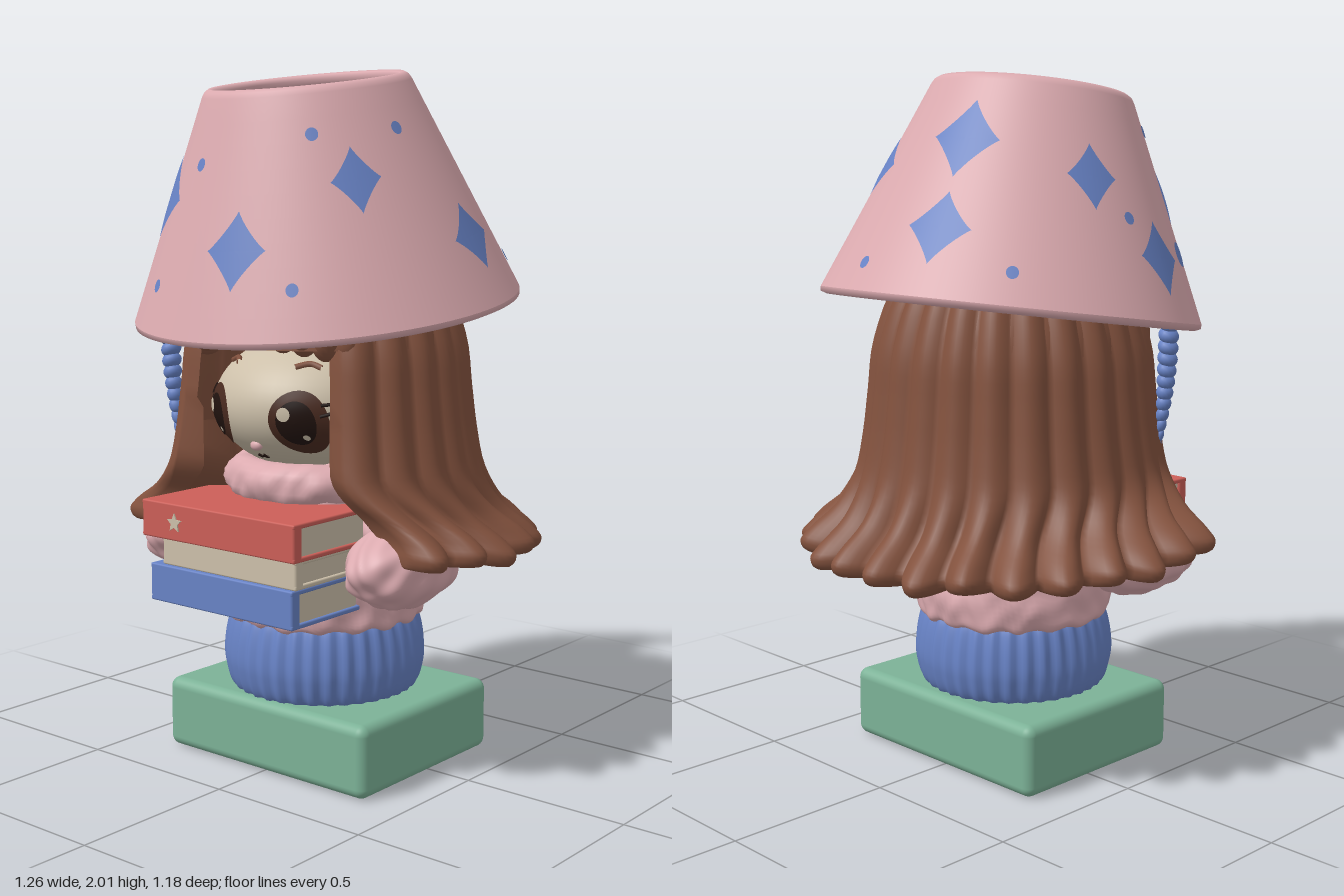
import * as THREE from 'three';
import { mergeVertices } from 'three/addons/utils/BufferGeometryUtils.js';
import { RoundedBoxGeometry } from 'three/addons/geometries/RoundedBoxGeometry.js';

const mat = (name, color, side = THREE.FrontSide) => {
  const m = new THREE.MeshStandardMaterial({ color, side });
  m.name = name;
  return m;
};

export function createModel() {
  const root = new THREE.Group();
  const pink = mat('pink', 0xdcabb0);
  const blue = mat('blue', 0x6883c6, THREE.DoubleSide);
  const brown = mat('hair brown', 0x83523e, THREE.DoubleSide);
  const cream = mat('cream', 0xcdc0aa);
  const green = mat('green', 0x7cb297);
  const red = mat('red', 0xcc5f58);
  const iris = mat('iris brown', 0x4a2b20);
  const dark = mat('dark', 0x21130f);

  const add = (name, geo, material, pos = [0, 0, 0], parent = root) => {
    const m = new THREE.Mesh(geo, material);
    m.name = name;
    m.position.set(...pos);
    parent.add(m);
    return m;
  };
  // Weld a geometry, move every vertex by a rule, and smooth it
  const reshape = (geo, rule) => {
    geo.deleteAttribute('uv');
    geo.deleteAttribute('normal');
    const g = mergeVertices(geo, 1e-5), p = g.attributes.position, v = new THREE.Vector3();
    for (let i = 0; i < p.count; i++) {
      rule(v.fromBufferAttribute(p, i));
      p.setXYZ(i, v.x, v.y, v.z);
    }
    g.computeVertexNormals();
    return g;
  };
  const lathe = (pts, n) => new THREE.LatheGeometry(
    new THREE.SplineCurve(pts.map(p => new THREE.Vector2(...p))).getPoints(40), n);
  const tufts = v => Math.sin(v.x * 62 + 9 * v.y) * Math.sin(v.y * 58 + 2 * Math.sin(v.x * 30)) + 0.6 * Math.sin(v.z * 66 + v.y * 40);

  // Base block, with a plug underneath
  add('base', new RoundedBoxGeometry(0.75, 0.21, 0.6, 5, 0.03), green, [0.005, 0.107, 0.03]);
  add('basePlug', new THREE.CylinderGeometry(0.035, 0.035, 0.006, 20), blue, [0, 0.003, 0.03]);

  // Ribbed skirt
  add('skirt', reshape(lathe([[0.2, 0.19], [0.265, 0.21], [0.29, 0.28], [0.29, 0.35], [0.275, 0.42], [0.25, 0.46]], 180), v => {
    const k = 1 + 0.018 * Math.sin(Math.atan2(v.x, v.z) * 36);
    v.x *= k; v.z *= k;
  }), blue, [0, 0, 0.038]);

  // Fluffy jumper with collar and sleeves
  add('jumper', reshape(lathe([[0.2, 0.42], [0.275, 0.425], [0.293, 0.47], [0.285, 0.56], [0.27, 0.66], [0.27, 0.76], [0.25, 0.87], [0.12, 0.94]], 120), v => {
    const k = 1 + 0.018 * tufts(v);
    v.x *= k; v.z *= k; v.y += 0.006 * Math.sin(Math.atan2(v.x, v.z) * 17);
  }), pink, [0, 0, 0.038]);
  const fluffBall = (rx, ry, rz) => reshape(new THREE.IcosahedronGeometry(1, 20), v => {
    v.set(v.x * rx, v.y * ry, v.z * rz);
    v.multiplyScalar(1 + 0.035 * tufts(v));
  });
  add('collar', reshape(new THREE.TorusGeometry(0.215, 0.06, 20, 110).rotateX(Math.PI / 2), v => {
    v.multiplyScalar(1 + 0.02 * tufts(v));
  }), pink, [0, 0.84, 0.06]);
  for (const s of [-1, 1]) {
    add('sleeve', fluffBall(0.125, 0.115, 0.2), pink, [s * 0.385, 0.64, 0.165]);
    add('upperArm', fluffBall(0.1, 0.12, 0.13), pink, [s * 0.3, 0.72, 0.06]);
  }

  // Books: two boards, a spine at the front and a page block
  const book = (name, x0, x1, y0, y1, zFront, zBack, material) => {
    const g = new THREE.Group(), w = x1 - x0, h = y1 - y0, d = zFront - zBack;
    g.name = name;
    g.position.set((x0 + x1) / 2, (y0 + y1) / 2, (zFront + zBack) / 2);
    for (const s of [-1, 1])
      add('board', new RoundedBoxGeometry(w, 0.014, d, 2, 0.005), material, [0, s * (h / 2 - 0.007), 0], g);
    add('spine', new RoundedBoxGeometry(w, h, 0.035, 3, 0.008), material, [0, 0, d / 2 - 0.0175], g);
    add('pages', new THREE.BoxGeometry(w - 0.016, h - 0.02, d - 0.03), cream, [0, 0, -0.005], g);
    root.add(g);
  };
  book('blueBook', -0.27, 0.265, 0.5, 0.608, 0.49, 0.2, blue);
  book('creamBook', -0.23, 0.27, 0.608, 0.69, 0.48, 0.2, cream);
  book('redBook', -0.28, 0.29, 0.69, 0.795, 0.51, 0.2, red);
  const star5 = new THREE.Shape(Array.from({ length: 10 }, (_, i) => {
    const r = i % 2 ? 0.013 : 0.028, a = Math.PI / 2 + i * Math.PI / 5;
    return new THREE.Vector2(r * Math.cos(a), r * Math.sin(a));
  }));
  add('bookStar', new THREE.ExtrudeGeometry(star5, { depth: 0.006, bevelEnabled: false }), cream, [-0.15, 0.742, 0.508]);

  // Head, and helpers that lay details on its surface
  const C = [0, 1.055, 0.05], R = [0.3, 0.205, 0.325];
  add('head', new THREE.SphereGeometry(1, 48, 32).scale(...R), cream, C);
  const faceZ = (x, y) => C[2] + R[2] * Math.sqrt(Math.max(0, 1 - (x / R[0]) ** 2 - ((y - C[1]) / R[1]) ** 2));
  const spot = (name, x, y, rx, ry, lift, material) =>
    add(name, reshape(new THREE.RingGeometry(0.001, 1, 32, 5), v => {
      const px = x + v.x * rx, py = y + v.y * ry;
      v.set(px, py, faceZ(px, py) + lift);
    }), material);
  const stroke = (name, pts, r, material) => {
    const path = new THREE.CatmullRomCurve3(pts.map(([x, y]) => new THREE.Vector3(x, y, faceZ(x, y) + 0.005)));
    add(name, new THREE.TubeGeometry(path, 12, r, 6), material);
  };
  for (const s of [-1, 1]) {
    const x = s * 0.146;
    spot('eye', x, 1.03, 0.072, 0.09, 0.005, iris);
    spot('pupil', x, 1.03, 0.048, 0.062, 0.01, dark);
    spot('eyeGlint', x - 0.024, 1.055, 0.017, 0.02, 0.015, cream);
    spot('smallGlint', x + 0.022, 0.99, 0.008, 0.008, 0.015, cream);
    for (const i of [0, 1])
      stroke('lash', [[s * 0.2, 1.08 - i * 0.03], [s * 0.225, 1.085 - i * 0.025], [s * 0.243, 1.1 - i * 0.02]], 0.005, dark);
    stroke('brow', [[s * 0.105, 1.178], [s * 0.135, 1.186], [s * 0.165, 1.176]], 0.009, brown);
    for (const i of [0, 1])
      stroke('whisker', [[s * 0.19, 0.95 - i * 0.025], [s * 0.225, 0.957 - i * 0.015], [s * 0.25, 0.97 - i * 0.008]], 0.0025, dark);
    stroke('mouth', [[0, 0.925], [s * 0.01, 0.918], [s * 0.02, 0.924]], 0.0035, dark);
  }
  add('nose', new THREE.SphereGeometry(0.02, 20, 14).scale(1, 0.75, 0.7), pink, [0, 0.955, faceZ(0, 0.955)]);

  // Long hair: a profile swept round the back, ribbed into strands and flared at the hem
  const strands = 18, perStrand = 10, cols = strands * perStrand;
  const profile = new THREE.SplineCurve([[0.02, 1.57], [0.2, 1.53], [0.33, 1.42], [0.4, 1.25], [0.42, 1.1], [0.435, 0.98],
    [0.46, 0.86], [0.51, 0.76], [0.585, 0.69], [0.615, 0.65], [0.58, 0.62], [0.45, 0.665], [0.32, 0.73], [0.3, 0.85], [0.3, 1.0]]
    .map(p => new THREE.Vector2(...p))).getPoints(56);
  const pos = [], idx = [], rows = profile.length;
  for (let c = -1; c <= cols + 1; c++) {
    const cap = c < 0 || c > cols, k = Math.min(Math.max(c, 0), cols), u = 2 * k / cols - 1;
    const bump = Math.abs(Math.sin(Math.PI * k / perStrand));
    const id = Math.min(strands - 1, Math.floor(k / perStrand));
    for (const p of profile) {
      const flare = 1 - THREE.MathUtils.smoothstep(p.y, 0.66, 0.9);
      const amp = (0.022 + 0.05 * flare) * Math.min(1, p.x / 0.3);
      let r = p.x + amp * (bump - 0.75);
      if (cap) r = p.y > 1.05 ? r - 0.03 * Math.min(1, p.x / 0.3) : 0.36 + Math.max(0, 0.85 - p.y) * 0.5;
      const a = u * THREE.MathUtils.lerp(2.36, 2.06, flare) + (cap ? Math.sign(u) * 0.06 : 0);
      const y = p.y + flare * (0.045 * u * u + 0.01 * Math.sin(id * 2.4) * bump);
      pos.push(r * Math.sin(a), y, 0.03 - r * Math.cos(a));
    }
  }
  for (let c = 0; c < cols + 2; c++) for (let j = 0; j < rows - 1; j++) {
    const a = c * rows + j, b = a + rows;
    idx.push(a, b, a + 1, b, b + 1, a + 1);
  }
  const hair = new THREE.BufferGeometry();
  hair.setAttribute('position', new THREE.Float32BufferAttribute(pos, 3));
  hair.setIndex(idx);
  hair.computeVertexNormals();
  add('longHair', hair, brown);
  add('hairCap', new THREE.SphereGeometry(1, 48, 24, 0, Math.PI * 2, 0, Math.PI * 0.47).scale(0.39, 0.36, 0.385), brown, [0, 1.2, 0.03]);
  for (let i = -5; i <= 5; i++) {
    const a = i * 0.17;
    add('fringeLock', new THREE.SphereGeometry(1, 18, 14).scale(0.046, 0.075, 0.06), brown,
      [0.35 * Math.sin(a), 1.305 - 0.0018 * i * i, 0.03 + 0.34 * Math.cos(a)]).rotation.y = a;
  }

  // Braided cord hanging from the shade
  for (let i = 0; i < 13; i++) {
    const t = i / 12, r = 0.036 * Math.sqrt(1 - t * 0.93) * (0.8 + 0.25 * Math.sin(Math.PI * t));
    const bead = add('braidBead', new THREE.SphereGeometry(1, 16, 12).scale(r, 0.024, r), blue,
      [-0.385 + 0.035 * t * t, 1.33 - 0.4 * t, 0.285]);
    bead.rotation.z = 0.45;
  }

  // Tilted lampshade hat
  const shade = new THREE.Group();
  shade.name = 'lampshade';
  shade.position.set(0, 1.33, 0.025);
  shade.rotation.x = 0.143;
  root.add(shade);
  const coneR = h => 0.562 - 0.428 * h;
  const wall = [];
  for (let i = 0; i <= 10; i++) wall.push([coneR(0.012 + i * 0.061), 0.012 + i * 0.061]);
  wall.push([0.288, 0.635], [0.276, 0.643], [0.262, 0.64], [0.254, 0.628]);
  for (let i = 10; i >= 0; i--) wall.push([coneR(0.012 + i * 0.06) - 0.04, 0.012 + i * 0.06]);
  wall.push([0.522, -0.002], [0.54, -0.008], [0.556, -0.002], wall[0]);
  add('shadeWall', new THREE.LatheGeometry(wall.map(p => new THREE.Vector2(...p)), 96), pink, [0, 0, 0], shade);

  // Blue patches [angle, height, half width, half height], on both faces of the shade
  const patch = (name, [a, h, w, t], power) => {
    for (const off of [0.005, -0.045])
      add(name, reshape(new THREE.RingGeometry(0.001, 1, 40, 5), v => {
        const q = Math.hypot(v.x, v.y), f = Math.atan2(v.y, v.x);
        const bend = x => Math.sign(x) * Math.abs(x) ** power;
        const y = h + q * t * bend(Math.sin(f)), r = coneR(y);
        const ang = a + q * w * bend(Math.cos(f)) / r;
        v.set((r + off) * Math.sin(ang), y, (r + off) * Math.cos(ang));
      }), blue, [0, 0, 0], shade);
  };
  for (const s of [[-0.687, 0.36, 0.1, 0.11], [0.19, 0.24, 0.09, 0.1], [0.98, 0.395, 0.07, 0.085], [1.74, 0.2, 0.092, 0.09],
    [2.61, 0.37, 0.08, 0.085], [-2.83, 0.45, 0.1, 0.11], [-2.82, 0.2, 0.095, 0.1], [-1.89, 0.38, 0.075, 0.09], [-1.41, 0.183, 0.09, 0.1]])
    patch('shadeStar', s, 2.3);
  for (const [a, h, r = 0.017] of [[-1.05, 0.54], [-0.25, 0.455], [0.71, 0.52], [0.534, 0.14], [-0.43, 0.137], [-1.09, 0.203, 0.034],
    [1.42, 0.51], [2.15, 0.11], [3.04, 0.09], [-2.37, 0.1], [-1.64, 0.28]])
    patch('shadeDot', [a, h, r, r], 1);

  return root;
}
